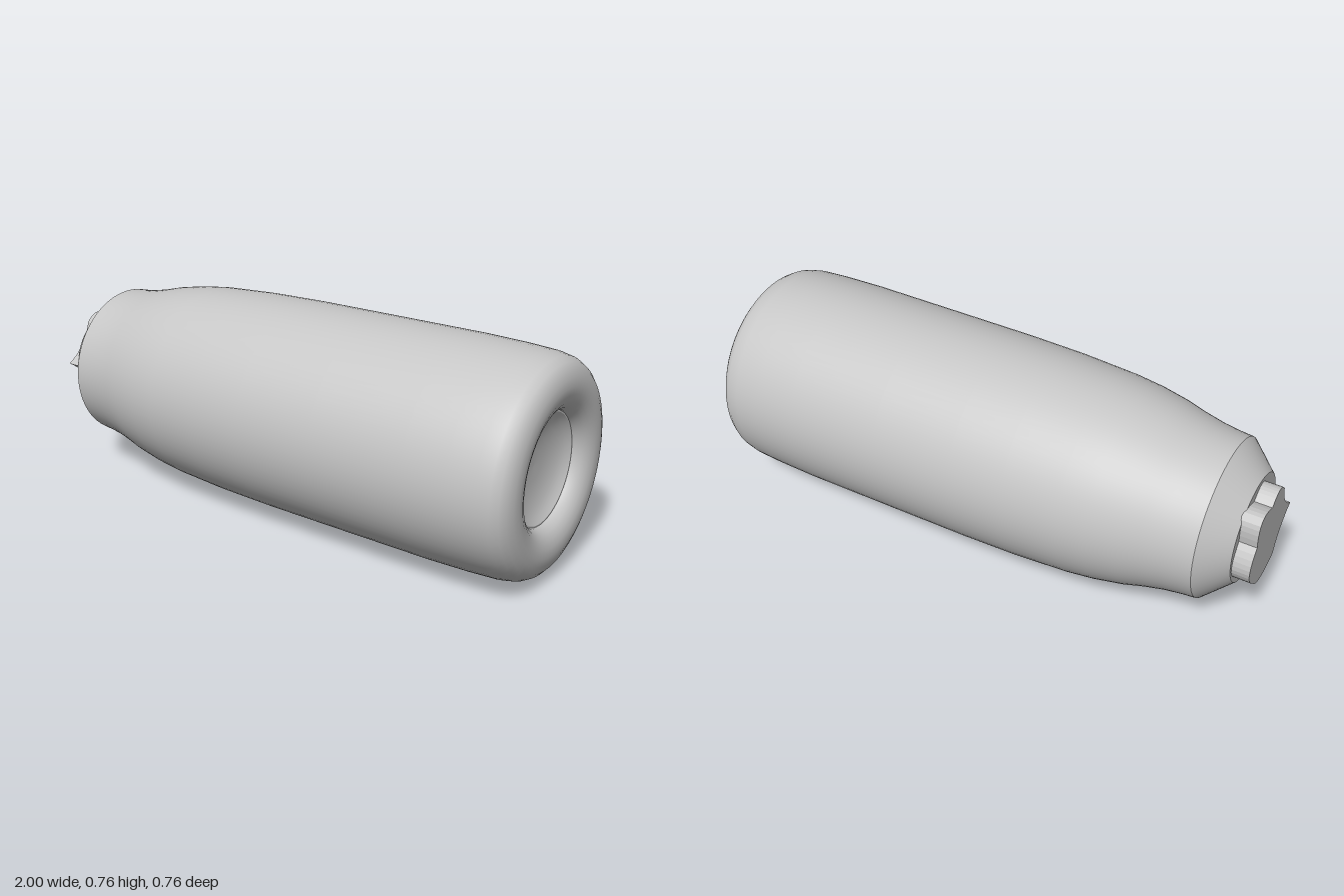
import * as THREE from 'three';

export function createModel() {
  const group = new THREE.Group();
  const grey = new THREE.MeshStandardMaterial({ color: 0xc6c6c6 });
  grey.name = 'grey';

  const AXIS_Y = 0.378;

  const add = (name, geometry) => {
    const mesh = new THREE.Mesh(geometry, grey);
    mesh.name = name;
    mesh.position.y = AXIS_Y;
    group.add(mesh);
  };

  // Revolves [x, radius] pairs around the long x axis
  const turned = (name, profile) => {
    const points = profile.map(([x, r]) => new THREE.Vector2(r, x));
    add(name, new THREE.LatheGeometry(points, 72).rotateZ(-Math.PI / 2));
  };

  // Narrow end: flat collar face and bevelled shoulder
  turned('collarFace', [[-0.94, 0], [-0.94, 0.19]]);
  turned('shoulder', [[-0.94, 0.19], [-0.845, 0.28]]);

  // Swelling grip with a softly rolled rim that turns into the end recess
  const grip = [
    [-0.845, 0.28], [-0.80, 0.284], [-0.74, 0.292], [-0.67, 0.307], [-0.6, 0.326],
    [-0.5, 0.345], [-0.4, 0.357], [-0.2, 0.369], [0, 0.374], [0.3, 0.376],
    [0.65, 0.378], [0.8, 0.375], [0.9, 0.37], [0.945, 0.361], [0.97, 0.347],
    [0.986, 0.328], [0.996, 0.302], [1, 0.275], [0.997, 0.248], [0.988, 0.224],
    [0.974, 0.204], [0.955, 0.191], [0.945, 0.189],
  ];
  turned('grip', grip);

  // Thin seam and concave button inside the recess
  turned('buttonSeam', [[0.945, 0.189], [0.945, 0.184]]);
  turned('dishedButton', [
    [0.945, 0.184], [0.932, 0.165], [0.92, 0.135], [0.911, 0.095], [0.906, 0.05], [0.905, 0],
  ]);

  // Lobed spigot: rounded lobes at the back, concave flanks meeting in a front point
  const lobes = new THREE.Shape();
  lobes.moveTo(0.18, 0);
  [
    [0.09, 0.05, 0.07, 0.14],
    [0.02, 0.205, -0.04, 0.14],
    [-0.17, 0.2, -0.14, 0.05],
    [-0.22, -0.05, -0.12, -0.12],
    [-0.06, -0.195, 0.07, -0.14],
    [0.09, -0.05, 0.18, 0],
  ].forEach((c) => lobes.quadraticCurveTo(...c));
  const spigot = new THREE.ExtrudeGeometry(lobes, { depth: 0.07, bevelEnabled: false, curveSegments: 10 });
  add('lobedSpigot', spigot.rotateY(-Math.PI / 2).translate(-0.93, 0, 0));

  return group;
}
